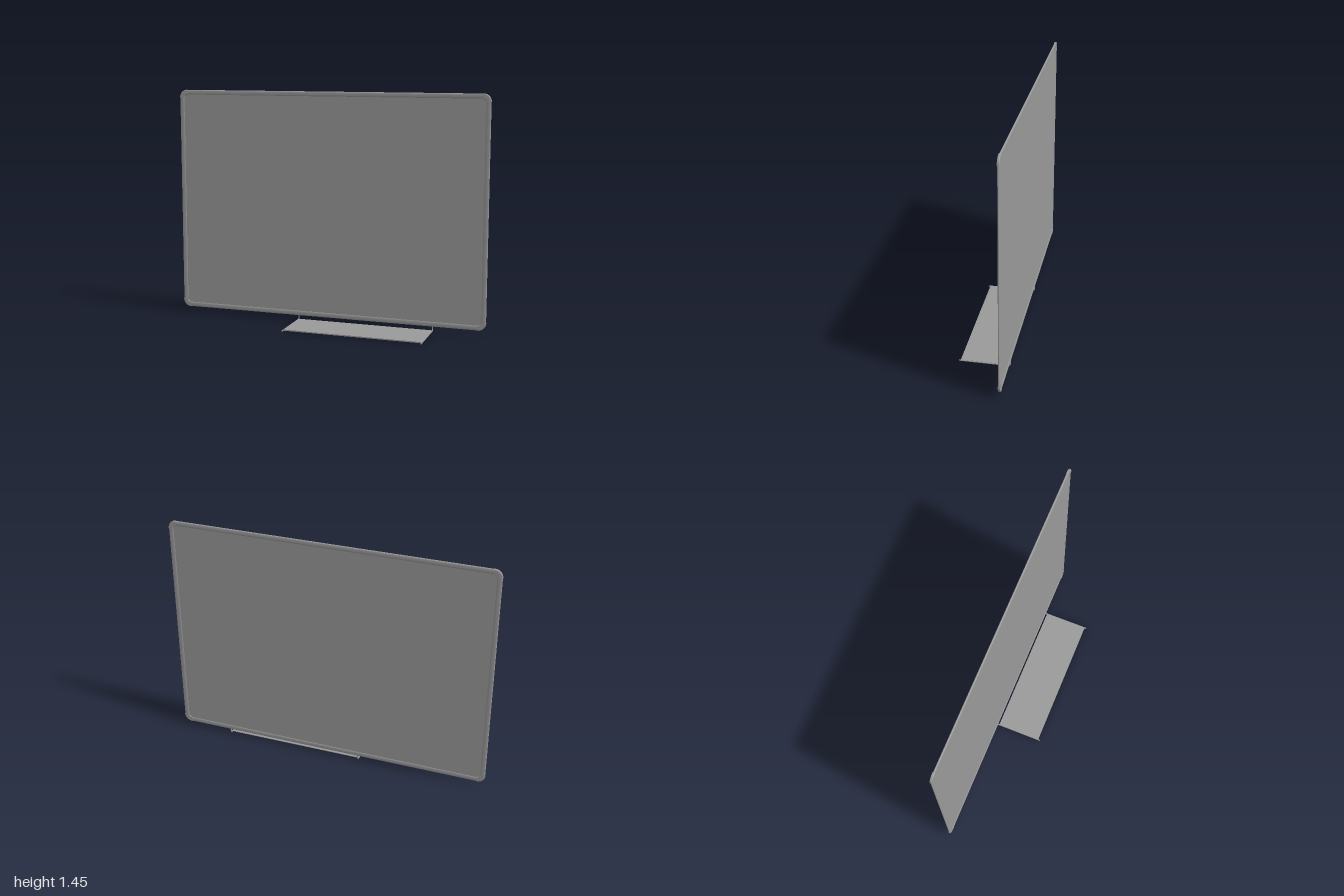
import * as THREE from 'three';

const MID_Y = 0.739, BOARD_Z = -0.146;
const HALF_W = 1, HALF_H = 0.71, R = 0.05;

export function createModel() {
  const model = new THREE.Group();
  const mat = new THREE.MeshStandardMaterial({ color: 0x999999 });
  const thin = new THREE.MeshStandardMaterial({ color: 0x999999, side: THREE.DoubleSide });
  const add = (parent, name, geometry, material = mat) => {
    const mesh = new THREE.Mesh(geometry, material);
    mesh.name = name;
    parent.add(mesh);
    return mesh;
  };

  // Domed frame section: a superellipse, squarer as the power rises
  const section = (inner, outer, t, power) => {
    const bend = v => Math.sign(v) * Math.abs(v) ** (2 / power);
    return Array.from({ length: 24 }, (_, i) => {
      const a = (i / 24) * Math.PI * 2;
      return new THREE.Vector2(
        (inner + outer) / 2 + (outer - inner) / 2 * bend(Math.cos(a)), t * bend(Math.sin(a)));
    });
  };

  const board = new THREE.Group();
  board.name = 'board';
  board.position.set(0, MID_Y, BOARD_Z);
  model.add(board);

  // Writing panel, set back inside the frame
  add(board, 'panel', new THREE.BoxGeometry(2 * HALF_W - 0.04, 2 * HALF_H - 0.04, 0.006));

  // Four frame rails, each turned a quarter from the last
  const toRail = new THREE.Matrix4().makeBasis(
    new THREE.Vector3(0, 1, 0), new THREE.Vector3(0, 0, 1), new THREE.Vector3(1, 0, 0));
  ['topRail', 'leftRail', 'bottomRail', 'rightRail'].forEach((name, i) => {
    const [length, out] = i % 2 ? [2 * (HALF_H - R), HALF_W] : [2 * (HALF_W - R), HALF_H];
    const geo = new THREE.ExtrudeGeometry(new THREE.Shape(section(-0.032, -0.001, 0.0062, 2.6)),
      { depth: length, bevelEnabled: false });
    geo.translate(0, 0, -length / 2).applyMatrix4(toRail).translate(0, out, 0);
    geo.rotateZ(-i * Math.PI / 2);
    add(board, name, geo);
  });

  // Rounded corner caps, slightly thicker than the rails
  const capProfile = section(R - 0.035, R, 0.008, 5);
  capProfile.push(capProfile[0].clone());
  const capGeo = new THREE.LatheGeometry(capProfile, 12, Math.PI / 2, Math.PI / 2);
  capGeo.rotateX(Math.PI / 2);
  [[1, 1], [-1, 1], [-1, -1], [1, -1]].forEach(([sx, sy], i) => {
    const cap = add(board, 'cornerCap', capGeo, thin);
    cap.position.set(sx * (HALF_W - R), sy * (HALF_H - R), 0);
    cap.rotation.z = i * Math.PI / 2;
  });

  // Pen tray: thin sheet held by a bent wire at each end
  const tray = new THREE.Group();
  tray.name = 'penTray';
  model.add(tray);
  const left = 0.672, right = -0.195, width = left - right;
  const sheet = add(tray, 'traySheet', new THREE.BoxGeometry(width, 0.004, 0.276));
  sheet.position.set((left + right) / 2, 0.007, 0.002);
  const lip = add(tray, 'trayFrontEdge', new THREE.BoxGeometry(width, 0.007, 0.006));
  lip.position.set((left + right) / 2, 0.0065, 0.14);

  const P = (y, z) => new THREE.Vector3(0, y, z);
  const path = new THREE.CurvePath();
  path.add(new THREE.LineCurve3(P(0.004, 0.155), P(0.004, -0.138)));
  path.add(new THREE.QuadraticBezierCurve3(P(0.004, -0.138), P(0.004, -0.148), P(0.014, -0.148)));
  path.add(new THREE.LineCurve3(P(0.014, -0.148), P(0.045, -0.148)));
  const armGeo = new THREE.TubeGeometry(path, 60, 0.004, 8);
  for (const x of [left, right]) add(tray, 'trayArm', armGeo, thin).position.x = x;
  return model;
}
